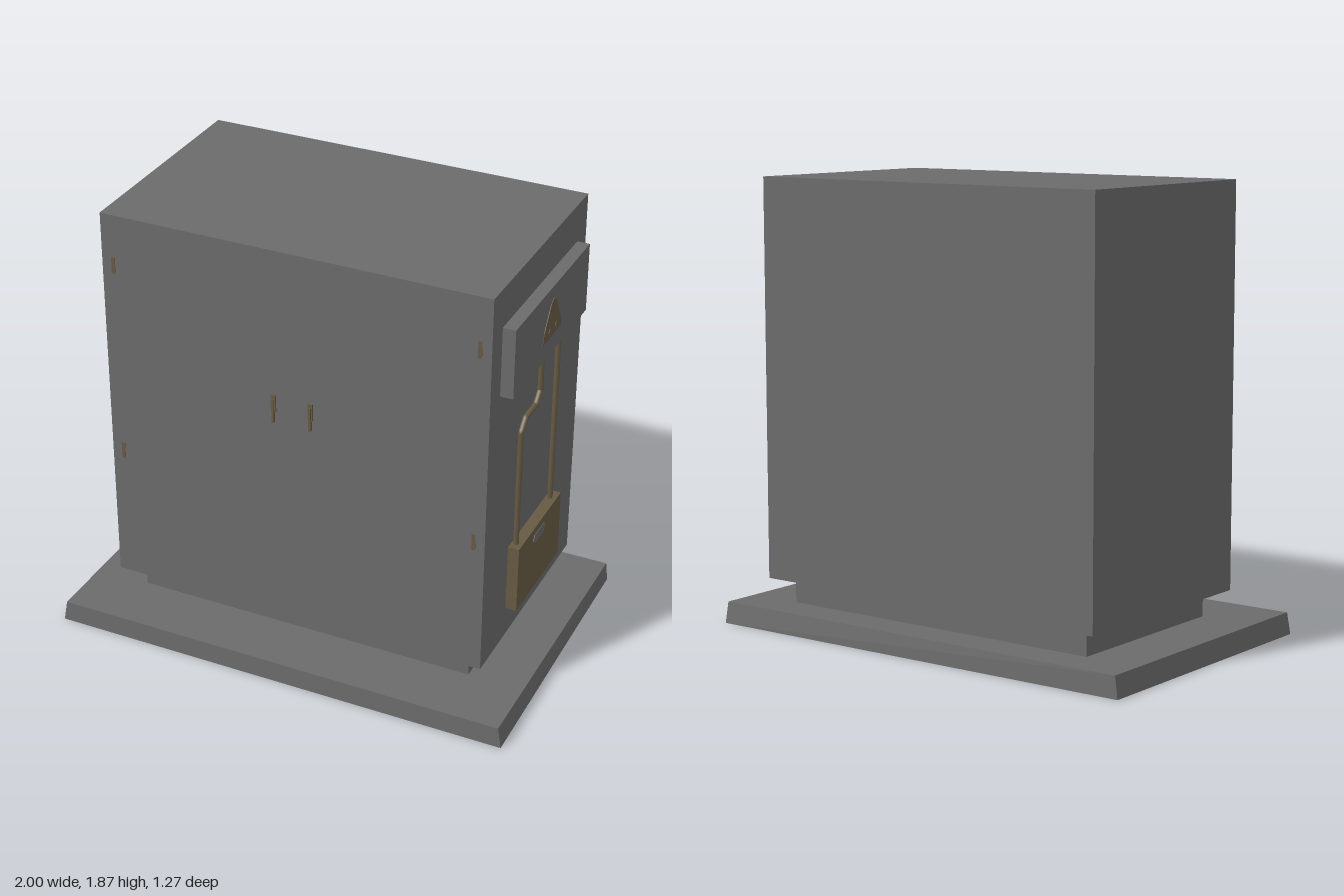
import * as THREE from 'three';

const grey = new THREE.MeshStandardMaterial({ color: 0x6b6b6b });
grey.name = 'cabinet grey';
const greyOpen = new THREE.MeshStandardMaterial({ color: 0x6b6b6b, side: THREE.DoubleSide });
greyOpen.name = 'base grey';
const brown = new THREE.MeshStandardMaterial({ color: 0x675a43 });
brown.name = 'dull brown';

export function createModel() {
  const model = new THREE.Group();
  model.name = 'electricalCabinet';

  const add = (name, geometry, material) => {
    const mesh = new THREE.Mesh(geometry, material);
    mesh.name = name;
    model.add(mesh);
    return mesh;
  };
  // Box given by its limits on each axis
  const box = (name, material, [x0, x1], [y0, y1], [z0, z1]) =>
    add(name, new THREE.BoxGeometry(x1 - x0, y1 - y0, z1 - z0), material)
      .position.set((x0 + x1) / 2, (y0 + y1) / 2, (z0 + z1) / 2);
  // Thin plate on the +x side, outlined in [z, y]
  const sidePlate = (name, material, x, points) => {
    const shape = new THREE.Shape(points.map(([z, y]) => new THREE.Vector2(-z, y)));
    const geometry = new THREE.ExtrudeGeometry(shape, { depth: 0.003, bevelEnabled: false });
    geometry.rotateY(Math.PI / 2);
    add(name, geometry, material).position.x = x;
  };

  // Slightly skewed base tray, open underneath
  const bottom = [[-1, 0.635], [1, 0.635], [0.985, -0.635], [-1, -0.62]];
  const top = [[-0.985, 0.632], [0.985, 0.632], [0.98, -0.622], [-0.985, -0.615]];
  const vertices = [];
  const quad = (a, b, c, d) => vertices.push(...a, ...b, ...c, ...a, ...c, ...d);
  const low = bottom.map(([x, z]) => [x, 0, z]);
  const high = top.map(([x, z]) => [x, 0.09, z]);
  for (let i = 0; i < 4; i++) {
    const j = (i + 1) % 4;
    quad(low[i], low[j], high[j], high[i]);
  }
  quad(...high);
  const tray = new THREE.BufferGeometry();
  tray.setAttribute('position', new THREE.Float32BufferAttribute(vertices, 3));
  tray.computeVertexNormals();
  add('base', tray, greyOpen);

  // Plinth and cabinet body
  box('plinth', grey, [-0.745, 0.745], [0.09, 0.2], [-0.458, 0.363]);
  box('cabinetBody', grey, [-0.827, 0.825], [0.197, 1.87], [-0.535, 0.441]);

  // Door hinges and tapered handles
  for (const side of [-1, 1]) {
    for (const y of [0.797, 1.65]) {
      const x = side * 0.778;
      box('hinge', brown, [x - 0.008, x + 0.008], [y - 0.036, y + 0.036], [0.438, 0.443]);
    }
    const x = side * 0.08;
    box('handlePlate', brown, [x - 0.01, x + 0.01], [1.165, 1.24], [0.438, 0.449]);
    box('handleGrip', brown, [x - 0.005, x + 0.005], [1.12, 1.225], [0.442, 0.455]);
  }

  // Upper and lower boxes on the side
  box('upperSideBox', grey, [0.82, 0.878], [1.41, 1.705], [-0.436, 0.343]);
  box('lowerSideBox', brown, [0.82, 0.872], [0.33, 0.628], [-0.28, 0.185]);

  // Warning triangle with small grey spots
  sidePlate('warningTriangle', brown, 0.877, [
    [0.052, 1.49], [0.04, 1.54], [0.008, 1.59], [-0.022, 1.635], [-0.05, 1.653],
    [-0.08, 1.63], [-0.11, 1.575], [-0.145, 1.51], [-0.138, 1.49]]);
  for (const z of [-0.012, -0.082]) {
    sidePlate('triangleSpot', grey, 0.879, [
      [z + 0.008, 1.518], [z - 0.008, 1.518], [z - 0.006, 1.532], [z + 0.004, 1.532]]);
  }

  // Pale badge on the lower box
  sidePlate('lowerBoxBadge', grey, 0.871, [
    [0.027, 0.573], [0.012, 0.553], [-0.088, 0.553], [-0.106, 0.575], [-0.092, 0.595], [0.012, 0.595]]);

  // Conduits joining the boxes: straight and cranked, in [z, y]
  const conduit = (name, points) => {
    const path = new THREE.CurvePath();
    const p = points.map(([z, y]) => new THREE.Vector3(0.843, y, z));
    for (let i = 1; i < p.length; i++) {
      const direction = p[i].clone().sub(p[i - 1]);
      const length = direction.length();
      const pipe = new THREE.CylinderGeometry(0.012, 0.012, length, 8);
      pipe.applyQuaternion(new THREE.Quaternion().setFromUnitVectors(
        new THREE.Vector3(0, 1, 0), direction.normalize()));
      add(name, pipe, brown).position.copy(p[i]).add(p[i - 1]).multiplyScalar(0.5);
      // Elbow at each bend
      if (i < p.length - 1) add('conduitElbow', new THREE.SphereGeometry(0.012, 8, 6), brown).position.copy(p[i]);
    }
  };
  conduit('straightConduit', [[-0.229, 0.62], [-0.229, 1.42]]);
  conduit('crankedConduit', [
    [0.146, 0.62], [0.146, 1.148], [0.102, 1.192], [-0.003, 1.192], [-0.047, 1.236], [-0.047, 1.42]]);

  return model;
}
